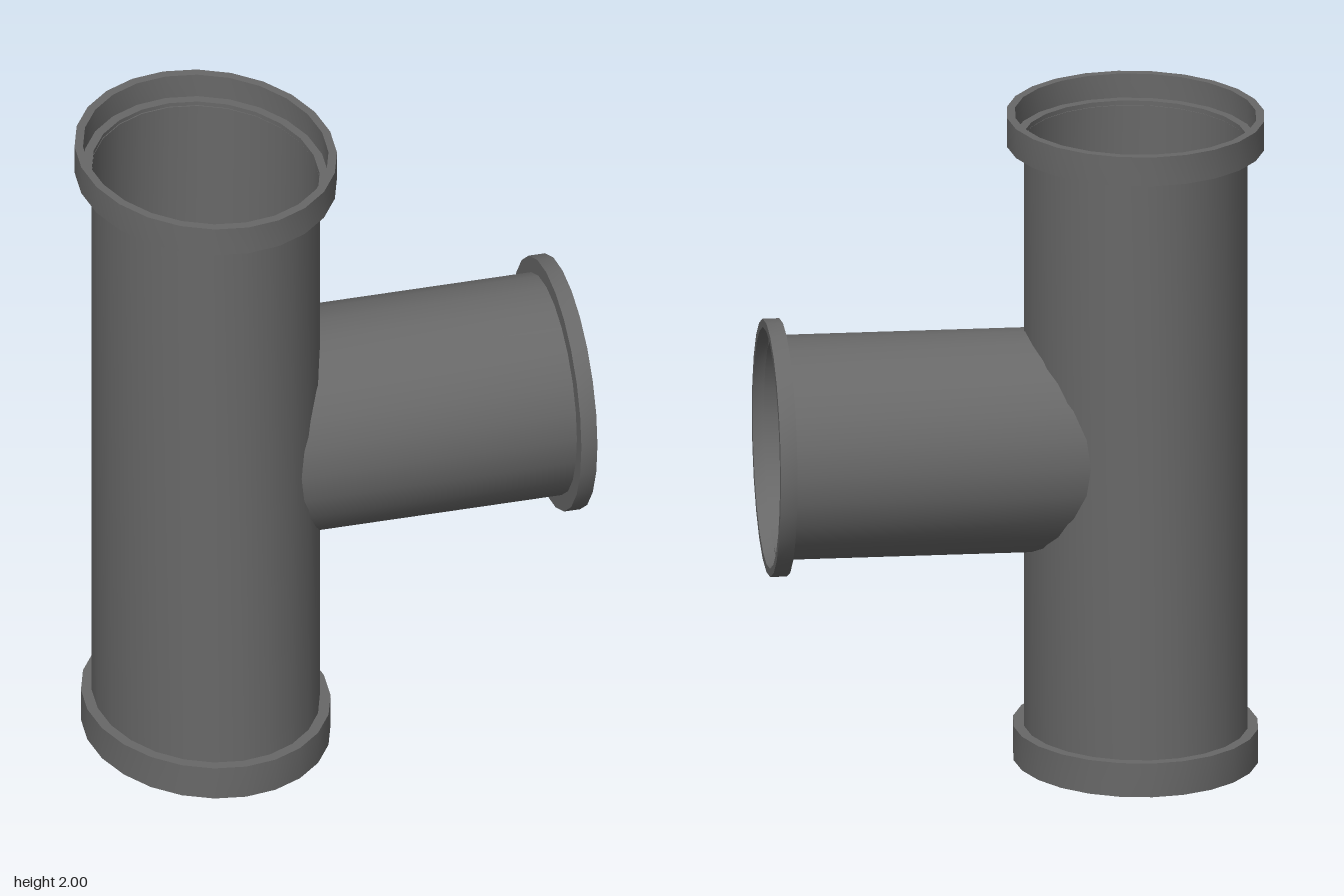
import * as THREE from 'three';
import { toCreasedNormals } from 'three/addons/utils/BufferGeometryUtils.js';

const SIDES = 24;
const MAIN_X = -0.364, RX = 0.336, RZ = 0.414; // oval main pipe
const BRANCH_Y = 1.001, BRANCH_Z = -0.016, BRANCH_R = 0.337;

// Turned surface from [radius, height] points; depth stretches it to an oval in z
function turned(profile, depth = 1) {
  const geo = new THREE.LatheGeometry(profile.map(([r, h]) => new THREE.Vector2(r, h)), SIDES);
  geo.scale(1, 1, depth);
  return geo;
}

// Socket collar: back face, outer wall, rim, inner wall and ledge down to the pipe
function collarProfile(pipe, outer, inner, back, ledge, rim) {
  return [[pipe, back], [outer, back], [outer, rim], [inner, rim], [inner, ledge], [pipe, ledge]];
}

export function createModel() {
  const model = new THREE.Group();
  model.name = 'pipeTee';
  const grey = new THREE.MeshStandardMaterial({ color: 0x686868, side: THREE.DoubleSide });
  grey.name = 'pipe grey';

  function add(name, geo, parent) {
    const mesh = new THREE.Mesh(toCreasedNormals(geo, 0.6), grey);
    mesh.name = name;
    parent.add(mesh);
  }

  // Upright main pipe with a wide upper and a narrower lower collar
  const main = new THREE.Group();
  main.name = 'mainPipe';
  main.position.x = MAIN_X;
  model.add(main);
  const oval = RZ / RX;
  add('mainWall', turned([[RX, 0.085], [RX, 1.925]], oval), main);
  add('topCollar', turned(collarProfile(RX, 0.387, 0.362, 1.91, 1.925, 2), 0.472 / 0.387), main);
  add('bottomCollar', turned(collarProfile(RX, 0.368, 0.352, 0.105, 0.085, 0), 0.449 / 0.368), main);

  // Side branch pointing to +x
  const branch = new THREE.Group();
  branch.name = 'branchPipe';
  branch.position.set(0, BRANCH_Y, BRANCH_Z);
  model.add(branch);

  // The wall's inner end is trimmed to follow the oval of the main pipe
  const wall = turned([[BRANCH_R, -0.2], [BRANCH_R, 0.72]]).rotateZ(-Math.PI / 2);
  const pos = wall.attributes.position;
  for (let i = 0; i < pos.count; i++) {
    if (pos.getX(i) > 0) continue;
    const z = (pos.getZ(i) + BRANCH_Z) / RZ;
    pos.setX(i, MAIN_X + RX * Math.sqrt(1 - z * z) - 0.004);
  }
  add('branchWall', wall, branch);
  add('branchCollar',
    turned(collarProfile(BRANCH_R, 0.387, 0.362, 0.7, 0.715, 0.75)).rotateZ(-Math.PI / 2), branch);

  return model;
}
